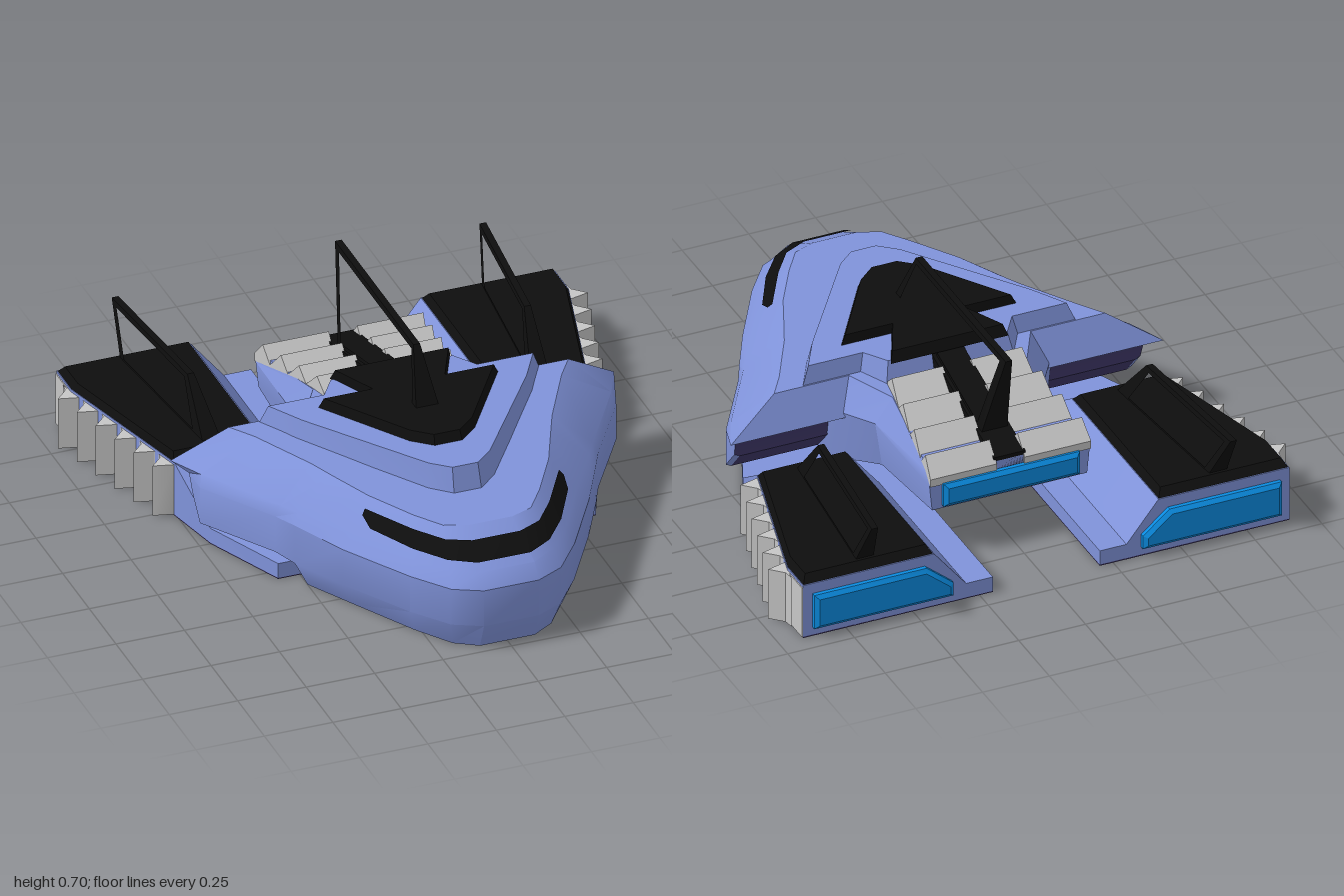
import * as THREE from 'three';
import { toCreasedNormals } from 'three/addons/utils/BufferGeometryUtils.js';

const mat = (name, color) => new THREE.MeshStandardMaterial({ name, color });

// Geometry from a list of triangles' corner points
function fromPoints(list) {
  const g = new THREE.BufferGeometry();
  g.setAttribute('position', new THREE.Float32BufferAttribute(list.flat(), 3));
  return g;
}

// Skin over rows of points
function grid(rows, tris = []) {
  for (let i = 0; i + 1 < rows.length; i++)
    for (let j = 0; j + 1 < rows[i].length; j++) {
      const a = rows[i][j], b = rows[i + 1][j], c = rows[i + 1][j + 1], d = rows[i][j + 1];
      tris.push(a, b, c, a, c, d);
    }
  return tris;
}

// Closed body through rings [x,y] at given z, front to back, with end caps
function loft(sections) {
  const rows = sections.map(([z, ring]) => [...ring, ring[0]].map(([x, y]) => [x, y, z]));
  const tris = grid(rows), n = rows[0].length - 1, back = rows[rows.length - 1];
  for (let k = 2; k < n; k++) {
    const i = k, j = (k + 1) % n;
    tris.push(rows[0][1], rows[0][i], rows[0][j], back[1], back[j], back[i]);
  }
  return fromPoints(tris);
}

// Horizontal slab from an [x,z] outline, its top drawn in by a fraction
function slab(pts, y0, y1, inset = 0) {
  const shape = new THREE.Shape(pts.map(([x, z]) => new THREE.Vector2(x, -z)));
  const g = new THREE.ExtrudeGeometry(shape, { depth: y1 - y0, bevelEnabled: false });
  g.rotateX(-Math.PI / 2).translate(0, y0, 0);
  const mid = k => (Math.min(...pts.map(p => p[k])) + Math.max(...pts.map(p => p[k]))) / 2;
  const cx = mid(0), cz = mid(1), p = g.attributes.position;
  for (let i = 0; i < p.count; i++)
    if (p.getY(i) > (y0 + y1) / 2) {
      p.setX(i, cx + (p.getX(i) - cx) * (1 - inset));
      p.setZ(i, cz + (p.getZ(i) - cz) * (1 - inset));
    }
  return g;
}

// Upright profile in [z,y], spread from x0 to x1
function profile(pts, x0, x1, hole) {
  const vec = a => a.map(([z, y]) => new THREE.Vector2(-z, y));
  const shape = new THREE.Shape(vec(pts));
  if (hole) shape.holes.push(new THREE.Path(vec(hole)));
  const g = new THREE.ExtrudeGeometry(shape, { depth: x1 - x0, bevelEnabled: false });
  return g.rotateY(Math.PI / 2).translate(x0, 0, 0);
}

function bend(g, rule) {
  const p = g.attributes.position;
  for (let i = 0; i < p.count; i++) p.setXYZ(i, ...rule(p.getX(i), p.getY(i), p.getZ(i)));
  return g;
}

function mirrored(geo) {
  const g = geo.index ? geo.toNonIndexed() : geo.clone(), p = g.attributes.position, out = [];
  for (let i = 0; i < p.count; i += 3)
    for (const k of [0, 2, 1]) out.push([-p.getX(i + k), p.getY(i + k), p.getZ(i + k)]);
  return fromPoints(out);
}

const flip = ([x, y, z]) => [-x, y, z];
const sym = half => [...half, ...half.map(([x, z]) => [-x, z]).reverse()];
const mix = (a, b, t) => a.map((v, i) => v + (b[i] - v) * t);

export function createModel() {
  const root = new THREE.Group();
  const blue = mat('hullBlue', 0x8093da), black = mat('black', 0x0e0e0e), grey = mat('ribGrey', 0xc6c6c6);
  const purple = mat('bellyPurple', 0x3f3768), glow = mat('engineBlue', 0x0a8be0);
  const add = (name, geo, material, angle = 0.5) => {
    const g = geo.index ? geo.toNonIndexed() : geo;
    g.computeVertexNormals();
    const m = new THREE.Mesh(toCreasedNormals(g, angle), material);
    m.name = name;
    root.add(m);
  };
  const pair = (name, geo, material) => {
    add(name + 'Left', geo, material);
    add(name + 'Right', mirrored(geo), material);
  };

  // Hull: levels from belly to deck, eight stations from nose to rear tip
  const B = [[.1, 0, .96], [.18, 0, .91], [.27, 0, .78], [.4, 0, .55], [.5, 0, .37], [.54, .1, .33], [.74, .1, .03], [.74, .18, -.04]];
  const L = [[.1, .1, 1], [.2, .1, .95], [.3, .1, .82], [.45, .1, .57], [.55, .1, .38], [.59, .11, .3], [.76, .11, .03], [.76, .19, -.04]];
  const M = [[.1, .24, 1], [.2, .24, .95], [.3, .24, .82], [.45, .24, .57], [.55, .25, .38], [.59, .25, .3], [.76, .25, .03], [.765, .26, -.06]];
  const U = [[.1, .29, .96], [.19, .29, .9], [.28, .29, .79], [.41, .29, .56], [.53, .29, .37], [.57, .29, .3], [.75, .29, .01], [.81, .285, -.12]];
  const T = [[.08, .385, .8], [.16, .385, .77], [.23, .385, .67], [.33, .39, .5], [.4, .395, .34], [.44, .4, .25], [.56, .41, .03], [.62, .41, -.06]];
  const columns = B.map((_, s) => [B, L, M, U, T].map(level => level[s]));
  const around = [...columns.map(c => c.map(flip)).reverse(), ...columns];
  const rear = columns[7];
  add('hullSides', fromPoints(grid(around)), blue);
  add('hullDeck', fromPoints(grid([T.map(flip), T])), blue);
  add('hullBelly', fromPoints(grid([B, B.map(flip)])), purple);
  add('hullRearLower', fromPoints(grid([rear.slice(0, 4), rear.slice(0, 4).map(flip)])), purple);
  add('hullRearUpper', fromPoints(grid([rear.slice(3), rear.slice(3).map(flip)])), blue);

  // Visor: a thin strip laid on the sloping brow
  const brow = (s, t) => mix(mix(U[Math.floor(s)], U[Math.ceil(s)], s % 1), mix(T[Math.floor(s)], T[Math.ceil(s)], s % 1), t);
  const lift = ([x, y, z]) => [x * 1.01, y + .005, z + .005];
  const visor = [[0, .2, .67], [1, .2, .67], [2, .22, .67], [2.75, .27, .67], [2.95, .5, .67]]
    .map(([s, a, b]) => [lift(brow(s, a)), lift(brow(s, b))]);
  add('visor', fromPoints(grid([...visor.map(c => c.map(flip)).reverse(), ...visor])), black);

  // Raised deck tier and black canopy plate
  add('upperTier', slab(sym([[.05, .59], [.12, .53], [.44, .08], [.52, -.06], [.3, -.06], [.24, -.15]]), .385, .475, .07), blue);
  add('canopyPlate', slab(sym([[.05, .41], [.12, .35], [.33, .03], [.14, .03], [.22, -.14]]), .47, .51, .06), black);

  // Central tail
  const tail = (z, low, wide, top, yb, ym, yt) => [z, [[-low, yb], [low, yb], [wide, ym], [top, yt], [-top, yt], [-wide, ym]]];
  add('tailBody', loft([
    tail(.05, .42, .45, .4, .1, .28, .4),
    tail(-.06, .4, .42, .34, .1, .3, .41),
    tail(-.22, .29, .315, .25, .13, .3, .39),
    tail(-.63, .29, .3, .29, .18, .28, .315),
  ]), blue);
  const ridge = [[-.13, .3], [-.64, .28], [-.64, .31]];
  for (let k = 3; k >= 0; k--)
    ridge.push([-.2 - .127 * k, .452 - .026 * k], [-.15 - .127 * k, .41 - .03 * k]);
  pair('tailRibs', bend(profile(ridge, 0, 1),
    (x, y, z) => [.052 + x * (.185 + (-.15 - z) * .13), y, z]), grey);
  add('tailSpine', profile([[0, .4], [-.63, .28], [-.63, .33], [-.14, .455], [-.08, .49], [0, .49]], -.06, .06), black);

  // Engine glow panels
  const engine = (pts, z) => {
    const shape = new THREE.Shape(pts.map(([x, y]) => new THREE.Vector2(x, y)));
    return new THREE.ExtrudeGeometry(shape, { depth: .015, bevelThickness: .012, bevelSize: .015, bevelSegments: 1 }).translate(0, 0, z);
  };
  add('tailEngine', engine([[-.24, .21], [.24, .21], [.24, .27], [-.24, .27]], -.648), glow);
  pair('podEngine', engine([[.37, .05], [.86, .05], [.86, .155], [.46, .155], [.37, .08]], -.945), glow);

  // Side pods
  const pod = (z, xo, yt) => [z, [[.2, .004], [xo, .004], [xo, yt], [.42, yt], [.3, .06], [.2, .06]]];
  pair('pod', loft([pod(.3, .58, .061), pod(0, .71, .061), pod(-.22, .757, .21), pod(-.8, .91, .21), pod(-.93, .91, .21)]), blue);
  pair('podBelly', slab([[.2, .3], [.58, .3], [.71, 0], [.757, -.22], [.91, -.8], [.91, -.93], [.2, -.93]], 0, .005), purple);
  pair('podLid', slab([[.42, -.93], [.91, -.93], [.91, -.8], [.757, -.22], [.42, -.22]], .205, .238, .08), black);

  // Saw-toothed outer ribs of the pods
  const teeth = [[.7, -.23]];
  for (let k = 0; k < 6; k++) {
    const x = .828 + .028 * k, z = -.24 - .106 * k;
    teeth.push([x - .07, z + .018], [x, z], [x - .045, z - .045], [x - .05, z - .08]);
  }
  teeth.push([.914, -.82], [.914, -.928], [.8, -.928]);
  pair('podRibs', slab(teeth, .003, .2), grey);

  // Open roll frames, thinner towards the top
  const taper = (y, y0, y1, wide) => THREE.MathUtils.lerp(wide, .012, THREE.MathUtils.clamp((y - y0) / (y1 - y0), 0, 1));
  const mainFrame = profile([[.22, .49], [.11, .7], [-.625, .7], [-.5, .34]], -1, 1,
    [[.175, .505], [.1, .68], [-.58, .68], [-.475, .385], [-.14, .47], [-.1, .505]]);
  add('mainFrame', bend(mainFrame, (x, y, z) => [x * taper(y, .45, .7, .05), y, z]), black);
  const podFrame = profile([[-.26, .22], [-.43, .415], [-.995, .415], [-.88, .22]], -1, 1,
    [[-.35, .245], [-.45, .395], [-.955, .395], [-.86, .245]]);
  pair('podFrame', bend(podFrame,
    (x, y, z) => [x * taper(y, .23, .41, .035) + .6 + (-.28 - z) * .1, y, z]), black);

  return root;
}
